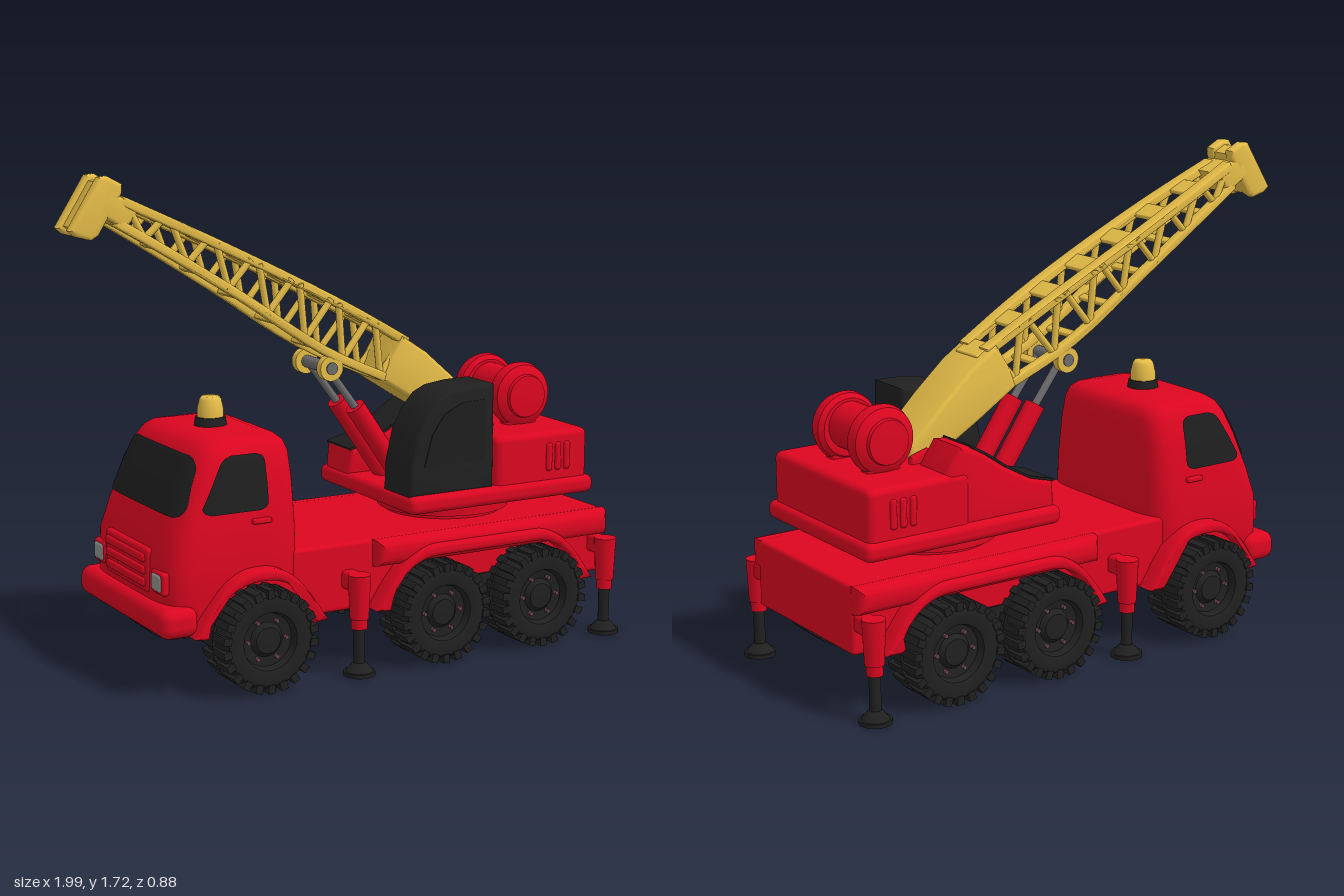
import * as THREE from 'three';
import { RoundedBoxGeometry } from 'three/addons/geometries/RoundedBoxGeometry.js';
import { toCreasedNormals } from 'three/addons/utils/BufferGeometryUtils.js';

const paint = (name, color, side = THREE.FrontSide) => {
  const m = new THREE.MeshStandardMaterial({ color, side });
  m.name = name;
  return m;
};
const V = (x, y, z) => new THREE.Vector3(x, y, z);

export function createModel() {
  const red = paint('red paint', 0xdc0620);
  const yellow = paint('yellow paint', 0xe6bd48);
  const black = paint('black rubber', 0x202020);
  const glass = paint('dark glass', 0x1e1e1e, THREE.DoubleSide);
  const steel = paint('steel', 0x6c6c6c);
  const axleMat = paint('axle brown', 0x684448);
  const lampMat = paint('lamp', 0x90908a);

  const model = new THREE.Group();
  model.name = 'craneTruck';
  const add = (name, geo, mat, parent = model) => {
    const m = new THREE.Mesh(geo, mat);
    m.name = name;
    parent.add(m);
    return m;
  };
  const box = (name, mat, x0, x1, y0, y1, z0, z1, r = 0.015) => {
    const m = add(name, new RoundedBoxGeometry(x1 - x0, y1 - y0, z1 - z0, 3, r), mat);
    m.position.set((x0 + x1) / 2, (y0 + y1) / 2, (z0 + z1) / 2);
    return m;
  };
  const rod = (name, mat, a, b, r0, r1 = r0, seg = 14) => {
    const d = b.clone().sub(a);
    const m = add(name, new THREE.CylinderGeometry(r1, r0, d.length(), seg), mat);
    m.position.copy(a).add(b).multiplyScalar(0.5);
    m.quaternion.setFromUnitVectors(V(0, 1, 0), d.normalize());
    return m;
  };
  // side profile in x, y extruded from z0 to z1
  const slab = (name, mat, shape, z0, z1, bevel = 0.01) => {
    if (Array.isArray(shape)) shape = new THREE.Shape(shape.map(p => new THREE.Vector2(...p)));
    const g = new THREE.ExtrudeGeometry(shape, {
      depth: z1 - z0 - 2 * bevel, bevelEnabled: bevel > 0, bevelSize: bevel, bevelThickness: bevel,
      bevelOffset: -bevel, bevelSegments: 3, curveSegments: 20 });
    g.translate(0, 0, z0 + bevel);
    return add(name, toCreasedNormals(g, 0.6), mat);
  };

  // driver cab: stacked rounded rings [y, front x, back x, half width]
  const rings = [[0.21, -0.78, -0.27, 0.32], [0.33, -0.785, -0.27, 0.335], [0.46, -0.78, -0.27, 0.335],
    [0.56, -0.745, -0.272, 0.328], [0.7, -0.69, -0.277, 0.308], [0.785, -0.65, -0.283, 0.288],
    [0.82, -0.625, -0.295, 0.27], [0.837, -0.6, -0.315, 0.248], [0.845, -0.55, -0.35, 0.2]];
  const N = 64, E = 6, pos = [], idx = [];
  const curve = t => Math.sign(t) * Math.abs(t) ** (2 / E);
  rings.forEach(([y, f, b, h], k) => {
    for (let j = 0; j < N; j++) {
      const t = (j / N) * Math.PI * 2, n = (j + 1) % N, o = k * N;
      pos.push((f + b) / 2 + (b - f) / 2 * curve(Math.cos(t)), y, h * curve(Math.sin(t)));
      if (k < rings.length - 1) idx.push(o + j, o + N + j, o + n, o + n, o + N + j, o + N + n);
    }
  });
  const last = (rings.length - 1) * N, c = rings.length * N;
  pos.push(-0.45, 0.848, 0, -0.52, 0.21, 0);
  for (let j = 0; j < N; j++) {
    const n = (j + 1) % N;
    idx.push(c, last + n, last + j, c + 1, j, n);
  }
  const cabGeo = new THREE.BufferGeometry();
  cabGeo.setAttribute('position', new THREE.Float32BufferAttribute(pos, 3));
  cabGeo.setIndex(idx);
  add('driverCab', toCreasedNormals(cabGeo, 0.7), red);

  const ringAt = y => {
    const k = Math.max(1, rings.findIndex(r => r[0] >= y)), a = rings[k - 1], b = rings[k];
    return a.map((v, i) => v + (b[i] - v) * (y - a[0]) / (b[0] - a[0]));
  };
  const fall = q => Math.max(0, 1 - Math.abs(q) ** E) ** (1 / E);
  const frontPoint = (z, y) => {
    const [, f, b, h] = ringAt(y);
    return [(f + b) / 2 - (b - f) / 2 * fall(z / h) - 0.006, y, z];
  };
  const sidePoint = s => (x, y) => {
    const [, f, b, h] = ringAt(y);
    return [x, y, s * (h * fall((x - (f + b) / 2) / ((b - f) / 2)) + 0.006)];
  };
  // thin pane following the cab skin, with rounded corners
  const pane = (name, point, y0, y1, lo, hi, r) => {
    const g = new THREE.PlaneGeometry(1, 1, 24, 24), p = g.attributes.position;
    for (let i = 0; i < p.count; i++) {
      const y = y0 + (y1 - y0) * (p.getY(i) + 0.5);
      const d = Math.max(0, r - Math.min(y - y0, y1 - y));
      const inset = r - Math.sqrt(Math.max(0, r * r - d * d));
      const a = lo(y) + inset, b = hi(y) - inset;
      p.setXYZ(i, ...point(a + (b - a) * (p.getX(i) + 0.5), y));
    }
    g.computeVertexNormals();
    add(name, g, glass);
  };
  pane('windshield', frontPoint, 0.6, 0.795, y => -0.295 + (y - 0.6) * 0.2, y => 0.295 - (y - 0.6) * 0.2, 0.05);

  // cab front: bumper, grille and headlights
  box('bumper', red, -0.82, -0.68, 0.21, 0.315, -0.355, 0.355, 0.04);
  box('grilleFrame', red, -0.79, -0.76, 0.33, 0.485, -0.175, 0.175);
  for (let i = 0; i < 3; i++) box('grilleBar', red, -0.8, -0.775, 0.35 + i * 0.042, 0.38 + i * 0.042, -0.155, 0.155, 0.01);
  add('beaconBase', new THREE.CylinderGeometry(0.052, 0.058, 0.035, 28), black).position.set(-0.465, 0.858, 0);
  const beacon = [[0.046, 0], [0.046, 0.03], [0.038, 0.065], [0.03, 0.076], [0, 0.078]];
  add('beacon', new THREE.LatheGeometry(beacon.map(p => new THREE.Vector2(...p)), 28), yellow).position.set(-0.465, 0.87, 0);

  // chassis
  box('chassis', red, -0.4, 0.975, 0.21, 0.45, -0.312, 0.312, 0.015);
  const arch = (x0, x1, flat0, flat1, r) => {
    const s = new THREE.Shape();
    s.moveTo(x0, 0.21);
    s.bezierCurveTo(x0 + 0.06, 0.3, flat0 - 0.12, 0.42, flat0, 0.42);
    s.lineTo(flat1, 0.42);
    s.bezierCurveTo(flat1 + 0.12, 0.42, x1 - 0.06, 0.3, x1, 0.21);
    s.lineTo(flat1 + r, 0.21);
    s.absarc(flat1, 0.185, r, 0.1, Math.PI / 2, false);
    s.absarc(flat0, 0.185, r, Math.PI / 2, Math.PI - 0.1, false);
    s.closePath();
    return s;
  };

  const treadGeo = new THREE.BoxGeometry(0.03, 0.088, 0.026);
  const tire = [[0, -0.07], [0.08, -0.07], [0.13, -0.086], [0.155, -0.08], [0.168, -0.06], [0.17, 0], [0.168, 0.06],
    [0.155, 0.08], [0.13, 0.086], [0.1, 0.078], [0.092, 0.05], [0.06, 0.045], [0.045, 0.062], [0, 0.064]];
  const tireGeo = toCreasedNormals(new THREE.LatheGeometry(tire.map(p => new THREE.Vector2(...p)), 44), 0.6);
  const wheelX = [-0.46, 0.23, 0.64];

  for (const s of [1, -1]) {
    const z = (a, b) => (s > 0 ? [a, b] : [-b, -a]);
    pane('sideWindow', sidePoint(s), 0.61, 0.797,
      y => -0.655 + Math.max(0, y - 0.63) * 0.56, () => -0.41, 0.03);
    box('doorHandle', red, -0.475, -0.405, 0.565, 0.583, ...z(0.315, 0.34), 0.006);
    box('headlightFrame', red, -0.787, -0.74, 0.345, 0.425, ...z(0.19, 0.285), 0.012);
    box('headlight', lampMat, -0.793, -0.75, 0.354, 0.416, ...z(0.2, 0.275), 0.012);
    slab('frontFender', red, arch(-0.71, -0.21, -0.47, -0.45, 0.192), ...z(0.28, 0.385), 0.015);
    slab('rearFender', red, arch(-0.02, 0.89, 0.23, 0.64, 0.192), ...z(0.28, 0.385), 0.015);
    slab('deckEdge', red, [[0, 0.355], [0.975, 0.355], [0.975, 0.45], [0, 0.45]], ...z(0.27, 0.365), 0.04);
    slab('suspensionLink', black, [[0.25, 0.05], [0.34, 0.06], [0.52, 0.2], [0.5, 0.27], [0.25, 0.27]], ...z(0.27, 0.32), 0);

    for (const x of wheelX) {
      const wheel = new THREE.Group();
      wheel.name = 'wheel';
      wheel.position.set(x, 0.183, s * 0.35);
      wheel.rotation.x = s * Math.PI / 2;
      model.add(wheel);
      add('tire', tireGeo, black, wheel);
      for (let i = 0; i < 44; i++) {
        const t = (i / 44) * Math.PI * 2, lug = add('treadLug', treadGeo, black, wheel);
        lug.position.set(0.164 * Math.cos(t), i % 2 ? 0.042 : -0.042, 0.164 * Math.sin(t));
        lug.rotation.y = -t;
      }
      for (let i = 0; i < 6; i++) {
        const t = (i / 6) * Math.PI * 2;
        add('wheelBolt', new THREE.CylinderGeometry(0.008, 0.008, 0.02, 6), axleMat, wheel)
          .position.set(0.072 * Math.cos(t), 0.05, 0.072 * Math.sin(t));
      }
    }
    // stabilizer legs
    for (const x of [-0.095, 0.94]) {
      const zz = s * 0.385, leg = (n, m, y0, y1, r0, r1) => rod(n, m, V(x, y0, zz), V(x, y1, zz), r0, r1, 20);
      box('stabilizerArm', red, x - 0.028, x + 0.028, 0.29, 0.355, ...z(0.27, 0.385));
      leg('stabilizerSleeve', red, 0.2, 0.355, 0.033, 0.04);
      leg('stabilizerCollar', red, 0.165, 0.2, 0.028, 0.028);
      leg('stabilizerPole', black, 0.02, 0.18, 0.02, 0.02);
      leg('stabilizerFoot', black, 0.012, 0.045, 0.05, 0.022);
      leg('stabilizerPad', black, 0, 0.014, 0.056, 0.056);
    }
    // side vents, winch drums and boom brackets
    for (let i = 0; i < 3; i++) box('vent', red, 0.722 + i * 0.038, 0.75 + i * 0.038, 0.61, 0.715, ...z(0.295, 0.32), 0.012);
    const drum = [[0, 0], [0.1, 0], [0.116, 0.015], [0.12, 0.035], [0.112, 0.06], [0.09, 0.075], [0.08, 0.078], [0.076, 0.09], [0, 0.094]];
    const d = add('winchDrum', toCreasedNormals(new THREE.LatheGeometry(drum.map(p => new THREE.Vector2(...p)), 40), 0.6), red);
    d.position.set(0.735, 0.86, s * 0.08);
    d.rotation.x = s * Math.PI / 2;
    box('winchMount', red, 0.67, 0.8, 0.73, 0.84, ...z(0.085, 0.14));
    slab('boomBracket', red, [[0.42, 0.56], [0.64, 0.56], [0.62, 0.78], [0.55, 0.8]], ...z(0.1, 0.125), 0.008);
    // lifting cylinders
    rod('liftCylinder', red, V(0.27, 0.58, s * 0.065), V(0.07, 0.87, s * 0.065), 0.036);
    rod('liftPiston', steel, V(0.08, 0.855, s * 0.065), V(-0.045, 1.02, s * 0.065), 0.014);
    rod('boomLug', yellow, V(-0.045, 1.02, s * 0.075), V(-0.045, 1.02, s * 0.105), 0.045, 0.045, 24);
  }
  rod('boomPin', steel, V(-0.045, 1.02, -0.11), V(-0.045, 1.02, 0.11), 0.022);
  for (const x of wheelX) rod('axle', axleMat, V(x, 0.178, -0.3), V(x, 0.178, 0.3), 0.035);

  // turntable and upper body
  rod('turntableNeck', red, V(0.48, 0.44, 0), V(0.48, 0.53, 0), 0.215, 0.215, 40);
  rod('turntableRing', red, V(0.48, 0.465, 0), V(0.48, 0.5, 0), 0.24, 0.24, 48);
  box('upperPlatform', red, 0.145, 0.925, 0.515, 0.58, -0.33, 0.33, 0.025);
  box('engineHousing', red, 0.51, 0.905, 0.55, 0.755, -0.312, 0.312, 0.025);
  rod('winchShaft', red, V(0.735, 0.868, -0.09), V(0.735, 0.868, 0.09), 0.082, 0.082, 28);
  slab('operatorCabin', black, [[0.155, 0.575], [0.16, 0.68], [0.185, 0.79], [0.225, 0.865], [0.27, 0.915], [0.32, 0.938],
    [0.4, 0.948], [0.5, 0.95], [0.5, 0.575]], 0.12, 0.308, 0.014);
  slab('cabinSideWindow', glass, [[0.21, 0.68], [0.24, 0.79], [0.29, 0.86], [0.36, 0.895], [0.46, 0.9], [0.46, 0.68]], 0.304, 0.311, 0);
  // sloping hood on the other side
  const slope = [[0.165, 0.665], [0.26, 0.69], [0.36, 0.745], [0.44, 0.8], [0.5, 0.835]];
  slab('slopedHood', red, [[0.155, 0.56], ...slope, [0.54, 0.84], [0.6, 0.75], [0.6, 0.56]], -0.305, -0.125, 0.02);
  slab('slopedHoodPane', glass, [...slope.map(([x, y]) => [x, y - 0.002]),
    ...slope.map(([x, y]) => [x - 0.003, y + 0.006]).reverse()], -0.3, -0.13, 0);

  // lattice boom: curved rails, side zigzag and cross ties
  const line = pts => new THREE.CatmullRomCurve3(pts.map(([x, y]) => V(x, y, 0)));
  const top = line([[0.28, 1.085], [0.01, 1.235], [-0.44, 1.46], [-0.81, 1.635]]);
  const low = line([[0.22, 0.95], [-0.07, 1.085], [-0.39, 1.295], [-0.63, 1.445], [-0.83, 1.565]]);
  const half = x => 0.11 - 0.1 * (x + 0.22) ** 2;
  for (const s of [1, -1]) {
    for (const [name, rail, w] of [['topRail', top, 0.05], ['bottomRail', low, 0.035]]) {
      const pts = rail.getPoints(16);
      const m = slab(name, yellow, [...pts.map(p => [p.x - 0.007, p.y - 0.014]), ...pts.map(p => [p.x + 0.007, p.y + 0.014]).reverse()], -w, 0, 0.006);
      const p = m.geometry.attributes.position;
      for (let i = 0; i < p.count; i++) p.setZ(i, p.getZ(i) + half(p.getX(i)) + (s > 0 ? 0 : w - 2 * half(p.getX(i))));
    }
    for (let i = 0; i < 7; i++) {
      const at = (rail, t) => { const q = rail.getPointAt(t); return q.setZ(s * (half(q.x) - 0.016)); };
      const a = at(top, (i + 0.1) / 7), b = at(low, (i + 0.35) / 7), n = at(top, (i + 0.9) / 7);
      rod('latticeUpright', yellow, a, b, 0.013, 0.013, 8);
      rod('latticeDiagonal', yellow, b, n, 0.013, 0.013, 8);
    }
  }
  for (let i = 0; i < 8; i++) for (const [rail, w] of [[top, 0.075], [low, 0.03]]) {
    const q = rail.getPointAt(i / 7), h = half(q.x) - 0.02;
    const tie = box('crossTie', yellow, q.x - w / 2, q.x + w / 2, q.y - 0.009, q.y + 0.009, -h, h, 0.006);
    tie.rotation.z = -0.5;
  }
  slab('boomFoot', yellow, [[0.25, 1.11], [0.35, 1.045], [0.47, 0.94], [0.6, 0.81], [0.605, 0.765], [0.5, 0.755], [0.32, 0.86], [0.17, 0.955], [0.2, 1.03]], -0.1, 0.1, 0.015);
  slab('boomNeck', yellow, [[-0.74, 1.615], [-0.86, 1.67], [-0.9, 1.6], [-0.8, 1.54], [-0.77, 1.575]], -0.075, 0.075, 0.012);

  // forked boom head
  const tip = [[-0.998, 1.545], [-0.975, 1.525], [-0.92, 1.51], [-0.895, 1.525], [-0.81, 1.66], [-0.808, 1.69], [-0.86, 1.718], [-0.89, 1.715]];
  for (const z of [-0.075, 0.03]) slab('boomHeadCheek', yellow, tip, z, z + 0.045, 0.014);
  slab('boomHeadCore', yellow, tip.map(([x, y]) => [-0.895 + (x + 0.9) * 0.85, 1.612 + (y - 1.615) * 0.85]), -0.05, 0.05, 0.01);
  return model;
}
